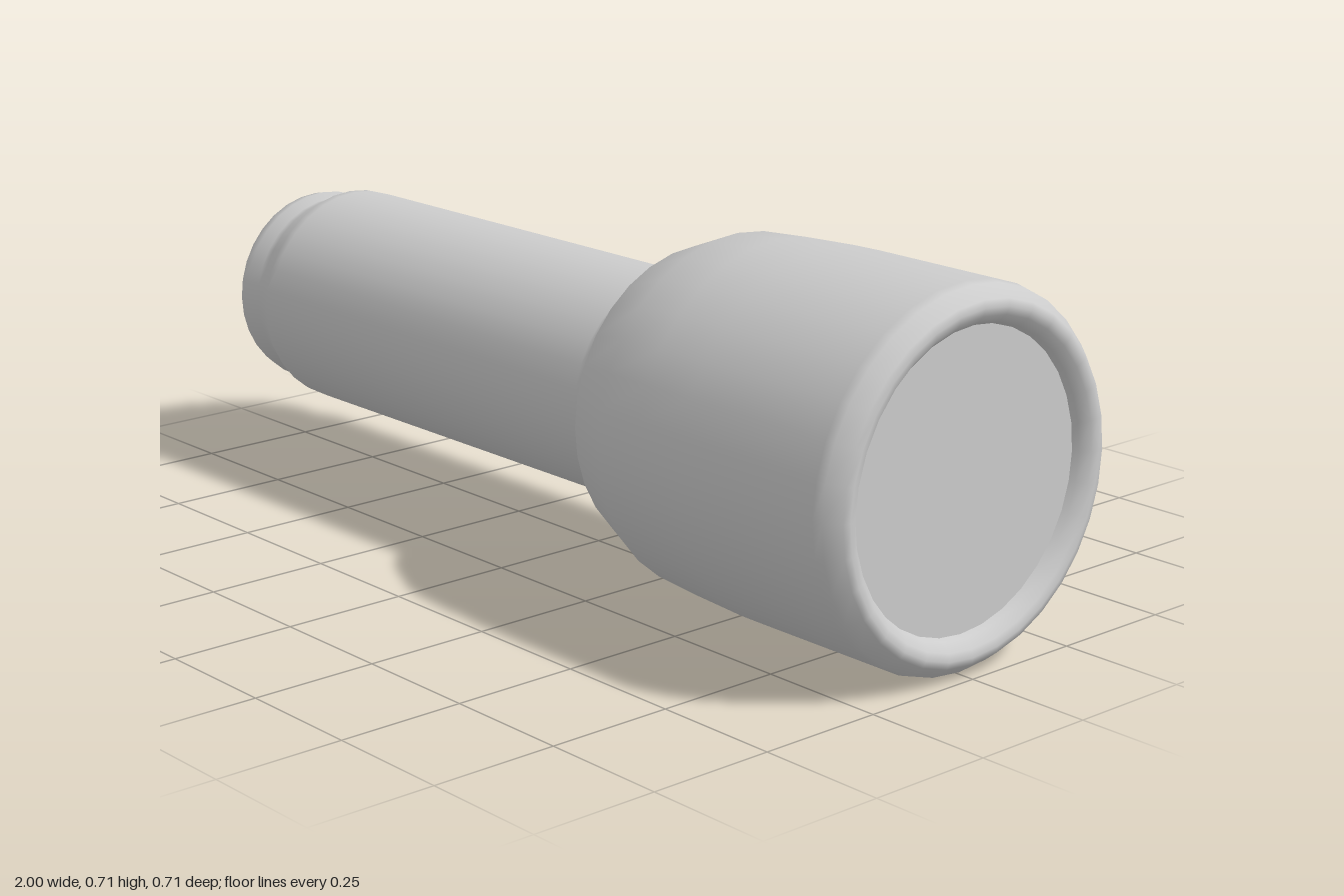
import * as THREE from 'three';

const SIDES = 32;
const AXIS_HEIGHT = 0.355;
const material = new THREE.MeshStandardMaterial({ color: 0xcccccc });

// Turns a profile of [x, radius] pairs around the x axis
function turned(name, profile) {
  const points = profile.map(([x, r]) => new THREE.Vector2(r, x));
  const geometry = new THREE.LatheGeometry(points, SIDES);
  geometry.rotateZ(-Math.PI / 2);
  const mesh = new THREE.Mesh(geometry, material);
  mesh.name = name;
  return mesh;
}

export function createModel() {
  const torch = new THREE.Group();
  torch.name = 'flashlight';

  // Tail cap, grip and flared head, ending in a rounded rim that rolls inward
  torch.add(turned('body', [
    [-1, 0], [-0.976, 0.12], [-0.957, 0.178], [-0.937, 0.2], [-0.91, 0.206],
    [-0.88, 0.198], [-0.86, 0.202], [-0.81, 0.225], [-0.79, 0.226],
    [0.19, 0.226], [0.215, 0.236], [0.275, 0.296], [0.39, 0.341],
    [0.5, 0.349], [0.62, 0.355], [0.95, 0.355], [0.968, 0.351],
    [0.996, 0.329], [1, 0.315], [0.996, 0.3], [0.98, 0.284], [0.955, 0.275],
  ]));

  // Flat lens just inside the rim
  const lens = new THREE.Mesh(new THREE.CircleGeometry(0.28, SIDES), material);
  lens.name = 'lens';
  lens.rotation.y = Math.PI / 2;
  lens.position.x = 0.968;
  torch.add(lens);

  torch.children.forEach((part) => { part.position.y = AXIS_HEIGHT; });
  return torch;
}
